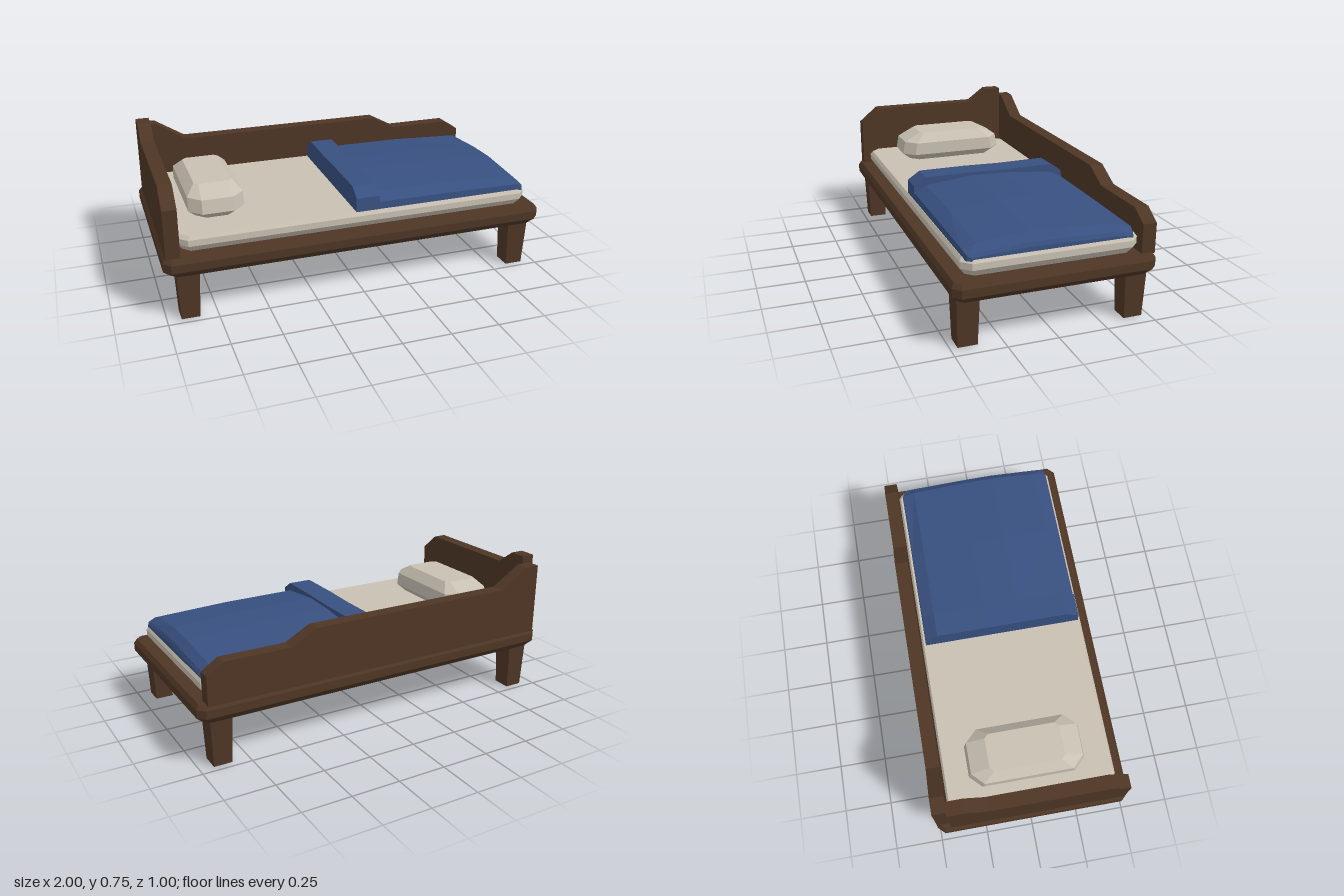
import * as THREE from 'three';

const material = (name, color, extra = {}) =>
  Object.assign(new THREE.MeshStandardMaterial({ color, flatShading: true, ...extra }), { name });

// Skins a row of equal-length convex rings and caps both ends
function loft(rings) {
  const p = [], n = rings[0].length;
  const tri = (a, b, c) => p.push(...a, ...b, ...c);
  for (let r = 0; r < rings.length - 1; r++) {
    const a = rings[r], b = rings[r + 1];
    for (let i = 0; i < n; i++) {
      const j = (i + 1) % n;
      tri(a[i], a[j], b[j]);
      tri(a[i], b[j], b[i]);
    }
  }
  const first = rings[0], last = rings[rings.length - 1];
  for (let i = 1; i < n - 1; i++) {
    tri(first[0], first[i + 1], first[i]);
    tri(last[0], last[i], last[i + 1]);
  }
  const g = new THREE.BufferGeometry();
  g.setAttribute('position', new THREE.Float32BufferAttribute(p, 3));
  g.computeVertexNormals();
  return g;
}

// Horizontal rectangle with cut corners: height, half width, half depth, cut
const slab = (y, w, d, c) => [
  [w, y, d - c], [w, y, c - d], [w - c, y, -d], [c - w, y, -d],
  [-w, y, c - d], [-w, y, d - c], [c - w, y, d], [w - c, y, d],
];

// Flat board cut from an outline
function board(points, depth) {
  const shape = new THREE.Shape(points.map(([x, y]) => new THREE.Vector2(x, y)));
  return new THREE.ExtrudeGeometry(shape, { depth, bevelEnabled: false });
}

export function createModel() {
  const bed = new THREE.Group();
  bed.name = 'bed';
  const wood = material('dark wood', 0x4e3625);
  const linen = material('cream linen', 0xc8c0b2);
  const blue = material('blue cloth', 0x385080);
  const add = (name, geometry, mat, x = 0, y = 0, z = 0) => {
    const mesh = new THREE.Mesh(geometry, mat);
    mesh.name = name;
    mesh.position.set(x, y, z);
    bed.add(mesh);
  };

  // Bevelled base
  add('frame', loft([
    slab(0.235, 0.965, 0.472, 0.03), slab(0.27, 1, 0.5, 0.035),
    slab(0.312, 1, 0.5, 0.035), slab(0.335, 0.985, 0.487, 0.03),
  ]), wood);

  // Tapered legs
  for (const sx of [-1, 1]) for (const sz of [-1, 1]) {
    add('leg', loft([slab(0, 0.046, 0.0475, 0), slab(0.24, 0.055, 0.055, 0)]),
      wood, sx * 0.885, 0, sz * 0.417);
  }

  // Long back board
  add('backBoard', board([
    [-0.96, 0.33], [0.955, 0.33], [0.955, 0.48], [0.87, 0.535], [0.53, 0.535],
    [0.4, 0.605], [-0.72, 0.605], [-0.88, 0.705], [-0.96, 0.705],
  ], 0.07), wood, 0, 0, -0.5);

  // Head board across the right end
  add('headBoard', board([
    [-0.43, 0.33], [0.475, 0.33], [0.475, 0.585], [0.37, 0.672],
    [-0.24, 0.672], [-0.34, 0.745], [-0.43, 0.745],
  ], 0.07).rotateY(-Math.PI / 2), wood, -0.915);

  // Mattress
  add('mattress', loft([
    slab(0.335, 0.905, 0.41, 0.035), slab(0.37, 0.93, 0.437, 0.045),
    slab(0.402, 0.93, 0.437, 0.045), slab(0.42, 0.918, 0.425, 0.045),
  ]), linen, 0.015, 0, 0.005);

  // Pillow
  add('pillow', loft([
    slab(0.42, 0.1, 0.25, 0.045), slab(0.46, 0.14, 0.298, 0.06),
    slab(0.53, 0.14, 0.285, 0.06), slab(0.58, 0.095, 0.19, 0.02),
  ]), linen, -0.69);

  // Blanket: arched cross-sections, thinning towards the foot
  const section = (x, edge, shoulder, crown, inset = 0) => [
    [x, 0.41, 0.428 - inset], [x, 0.41, inset - 0.41],
    [x, edge, inset - 0.405], [x, shoulder, inset - 0.34],
    [x, crown - 0.004, -0.07], [x, crown, 0.11],
    [x, shoulder, 0.36 - inset], [x, edge, 0.425 - inset],
  ];
  add('blanket', loft([
    section(0.09, 0.458, 0.492, 0.52), section(0.5, 0.456, 0.49, 0.517),
    section(0.885, 0.45, 0.472, 0.497), section(0.925, 0.435, 0.445, 0.462, 0.01),
    section(0.935, 0.425, 0.43, 0.44, 0.03),
  ]), blue);

  // Turned-back fold of the blanket
  add('blanketFold', loft([-0.02, 0.105].map((x) => section(x, 0.492, 0.535, 0.536))), blue);

  return bed;
}
